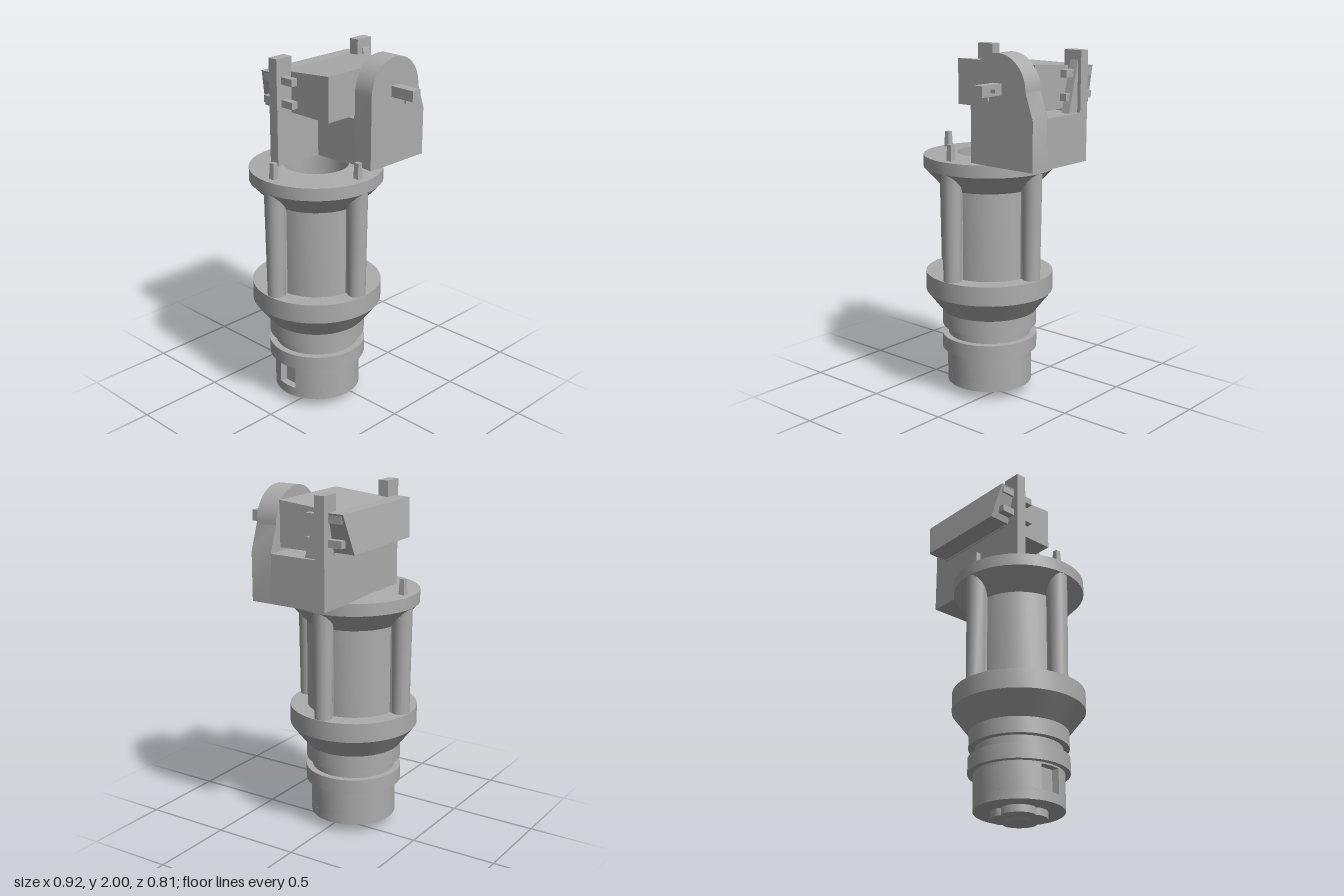
import * as THREE from 'three';
import { toCreasedNormals } from 'three/addons/utils/BufferGeometryUtils.js';

export function createModel() {
  const model = new THREE.Group();
  const grey = new THREE.MeshStandardMaterial({ color: 0xacacac });
  grey.name = 'machined grey';
  const CX = -0.09, CZ = -0.035; // axis of the round body

  const add = (name, geo, x = 0, y = 0, z = 0, parent = model) => {
    const m = new THREE.Mesh(toCreasedNormals(geo, 0.6), grey);
    m.name = name;
    m.position.set(x, y, z);
    parent.add(m);
    return m;
  };
  // Box given by its limits
  const box = (name, x0, x1, y0, y1, z0, z1, parent) =>
    add(name, new THREE.BoxGeometry(x1 - x0, y1 - y0, z1 - z0),
      (x0 + x1) / 2, (y0 + y1) / 2, (z0 + z1) / 2, parent);
  const shapeOf = (pts) => new THREE.Shape(pts.map(([a, b]) => new THREE.Vector2(a, b)));
  const extrude = (shape, depth) =>
    new THREE.ExtrudeGeometry(shape, { depth, bevelEnabled: false, curveSegments: 16 });
  // Prism with a (z, y) section running from x0 to x1
  const prismX = (pts, x0, x1) =>
    extrude(shapeOf(pts), x1 - x0).rotateY(-Math.PI / 2).translate(x1, 0, 0);
  // Prism with a flat (x, -z) outline standing from y0 to y1
  const prismY = (shape, y0, y1) =>
    extrude(shape, y1 - y0).rotateX(-Math.PI / 2).translate(0, y0, 0);

  // Round body: collars, flared flanges, column and open socket on top
  const body = new THREE.Group();
  body.name = 'body';
  body.position.set(CX, 0, CZ);
  model.add(body);
  const profile = [
    [0, 0.25], [0.245, 0.25], [0.245, 0.26], [0.275, 0.26], [0.275, 0.345], [0.238, 0.345],
    [0.238, 0.4], [0.272, 0.4], [0.272, 0.49], [0.365, 0.61], [0.365, 0.72], [0.265, 0.72],
    [0.265, 1.22], [0.37, 1.33], [0.37, 1.4], [0.18, 1.41], [0.18, 1.22], [0, 1.22],
  ].map(([r, y]) => new THREE.Vector2(r, y));
  add('flangedBody', new THREE.LatheGeometry(profile, 40), 0, 0, 0, body);

  // Lower drum with a notch on its right side
  const drum = new THREE.Shape();
  const a = 0.25;
  drum.absarc(0, 0, 0.245, Math.PI + a, Math.PI * 3 - a, false);
  drum.lineTo(-0.2, 0.05);
  drum.lineTo(-0.2, -0.05);
  add('drumFoot', new THREE.CylinderGeometry(0.245, 0.245, 0.055, 40), 0, 0.0825, 0, body);
  add('notchedDrum', prismY(drum, 0.11, 0.25), 0, 0, 0, body);

  // Four-lobed end cap
  const clover = [];
  for (let i = 0; i < 64; i++) {
    const t = (i / 64) * Math.PI * 2;
    const r = 0.125 + 0.027 * Math.sqrt(Math.abs(Math.sin(2 * t)));
    clover.push([r * Math.cos(t), r * Math.sin(t)]);
  }
  add('lobedCap', prismY(shapeOf(clover), 0.015, 0.055), 0, 0, 0, body);
  add('capCentre', new THREE.CylinderGeometry(0.07, 0.05, 0.016, 20), 0, 0.008, 0, body);

  // Four tie rods with webs and square pins above the flange
  for (let i = 0; i < 4; i++) {
    const rod = new THREE.Group();
    rod.name = 'tieRod' + (i + 1);
    rod.rotation.y = (i * Math.PI) / 2;
    body.add(rod);
    add('rod', new THREE.CylinderGeometry(0.058, 0.05, 0.67, 14), 0, 0.995, 0.312, rod);
    box('web', -0.035, 0.035, 0.7, 1.3, 0.24, 0.31, rod);
    const pin = new THREE.CylinderGeometry(0.02, 0.026, 0.1, 4).rotateY(Math.PI / 4);
    add('pin', pin, 0, 1.44, 0.315, rod);
  }

  // Bracket: floor block, low back wall and two posts
  const bracket = new THREE.Group();
  bracket.name = 'bracket';
  model.add(bracket);
  box('floor', 0.035, 0.46, 1.4, 1.67, -0.15, 0.14, bracket);
  box('backWall', -0.27, 0.46, 1.4, 1.7, -0.205, -0.145, bracket);
  for (const [x0, x1] of [[-0.27, -0.16], [0.35, 0.46]])
    box('post', x0, x1, 1.69, 2, -0.205, -0.145, bracket);
  add('gusset', prismX([[-0.15, 1.66], [-0.07, 1.66], [-0.15, 1.97]], 0.39, 0.44), 0, 0, 0, bracket);

  // Rounded front cheek
  const cheek = new THREE.Shape();
  cheek.moveTo(0.035, 1.4);
  cheek.lineTo(0.46, 1.4);
  cheek.lineTo(0.46, 1.67);
  cheek.lineTo(0.41, 1.81);
  cheek.absarc(0.2225, 1.8125, 0.1875, 0, Math.PI, false);
  add('frontCheek', extrude(cheek, 0.125), 0, 0, 0.13, bracket);

  // Tilting block and its sloped rear panel
  add('block', prismX([[0.135, 1.69], [0.135, 1.94], [-0.21, 1.91], [-0.21, 1.69]], -0.165, 0.375));
  const panel = prismX([[-0.2, 1.7], [-0.2, 1.91], [-0.295, 1.91], [-0.33, 1.7]], -0.24, 0.425);
  const p = panel.attributes.position;
  for (let i = 0; i < p.count; i++) // narrow the lower edge
    if (p.getY(i) < 1.8) p.setX(i, 0.0925 + (p.getX(i) - 0.0925) * 0.84);
  add('rearPanel', panel);

  // Bolts through the posts
  for (const x of [-0.218, 0.405])
    for (const y of [1.755, 1.88])
      box('bolt', x - 0.02, x + 0.02, y - 0.02, y + 0.02, -0.285, -0.065);

  // Axle stub with a cross pin
  box('axle', 0.19, 0.25, 1.785, 1.845, 0.25, 0.405);
  box('crossPin', 0.24, 0.28, 1.805, 1.825, 0.33, 0.342);
  box('lowerPin', 0.21, 0.23, 1.76, 1.79, 0.33, 0.342);

  return model;
}
